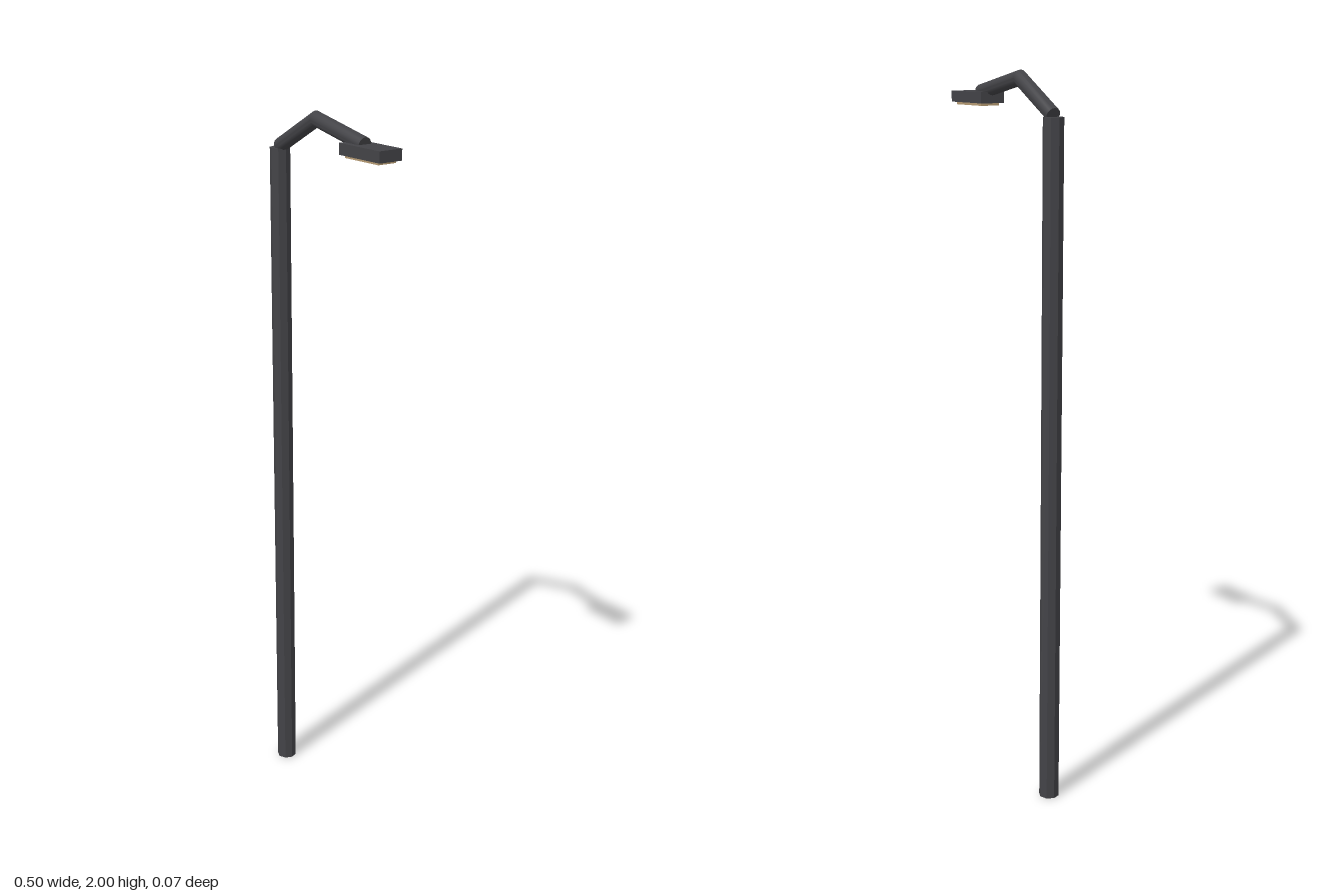
import * as THREE from 'three';
import { toCreasedNormals } from 'three/addons/utils/BufferGeometryUtils.js';

const darkMetal = new THREE.MeshStandardMaterial({ color: 0x434347 });
const facetedMetal = new THREE.MeshStandardMaterial({ color: 0x434347, flatShading: true });
const warmGlass = new THREE.MeshStandardMaterial({ color: 0xb59a72 });

function addPart(group, name, geometry, material, x, y) {
  const mesh = new THREE.Mesh(geometry, material);
  mesh.name = name;
  mesh.position.set(x, y, 0);
  group.add(mesh);
}

// Closed tube with a mitred joint, bent in the xy plane along the given points
function bentTube(points, radius, sides) {
  const last = points.length - 1;
  const rows = points.map((p, i) => {
    const before = i > 0 ? p.clone().sub(points[i - 1]).normalize() : null;
    const after = i < last ? points[i + 1].clone().sub(p).normalize() : null;
    const along = (before || after).clone().add(after || before).normalize();
    const stretch = 1 / along.dot(before || after);
    return { p, side: new THREE.Vector2(along.y, -along.x).multiplyScalar(stretch) };
  });
  const geometry = new THREE.CylinderGeometry(radius, radius, last, sides, last);
  const pos = geometry.attributes.position;
  for (let i = 0; i < pos.count; i++) {
    const { p, side } = rows[Math.round(pos.getY(i) + last / 2)];
    const offset = pos.getX(i);
    pos.setXY(i, p.x + side.x * offset, p.y + side.y * offset);
  }
  return toCreasedNormals(geometry, 0.6);
}

export function createModel() {
  const lamp = new THREE.Group();
  lamp.name = 'streetLamp';

  // Octagonal upright
  addPart(lamp, 'pole', new THREE.CylinderGeometry(0.028, 0.028, 1.885, 8), facetedMetal, -0.222, 0.9425);

  // Bent arm rising from the pole, then dropping to the lamp head
  const path = [[-0.22, 1.89], [-0.057, 1.979], [0.146, 1.938]].map(([x, y]) => new THREE.Vector2(x, y));
  addPart(lamp, 'arm', bentTube(path, 0.02, 16), darkMetal, 0, 0);

  // Lamp head with its light panel underneath
  addPart(lamp, 'lampHead', new THREE.BoxGeometry(0.164, 0.03, 0.072), facetedMetal, 0.168, 1.924);
  addPart(lamp, 'lightPanel', new THREE.BoxGeometry(0.135, 0.012, 0.056), warmGlass, 0.168, 1.908);

  return lamp;
}
